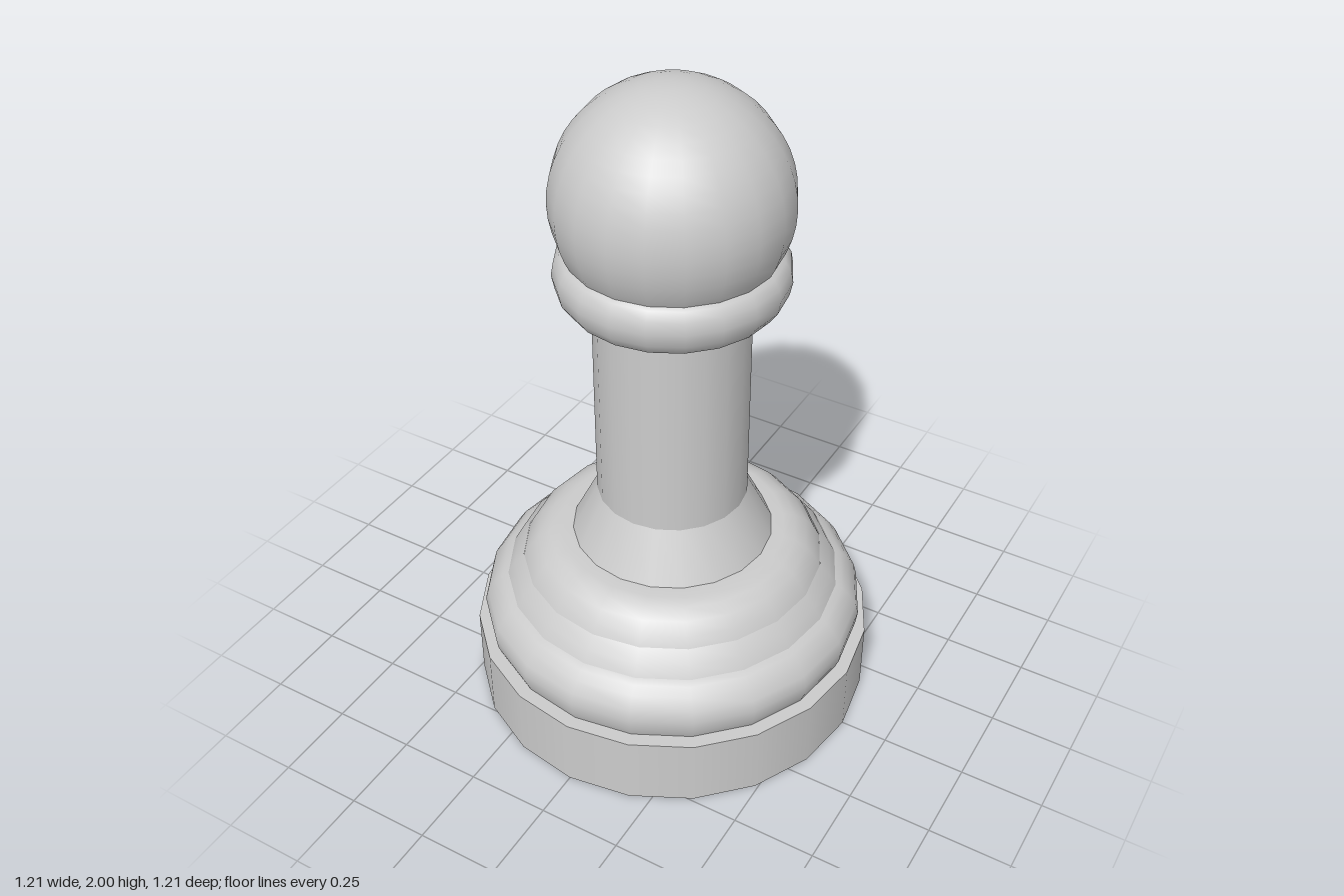
import * as THREE from 'three';

const SIDES = 20;

export function createModel() {
  const group = new THREE.Group();
  const material = new THREE.MeshStandardMaterial({ color: 0xcccccc });

  const add = (name, geometry, y = 0) => {
    const mesh = new THREE.Mesh(geometry, material);
    mesh.name = name;
    mesh.position.y = y;
    group.add(mesh);
  };
  // Turned part from [radius, height] points, bottom to top
  const turn = (name, points) =>
    add(name, new THREE.LatheGeometry(points.map(([r, y]) => new THREE.Vector2(r, y)), SIDES));

  // Foot
  add('base', new THREE.CylinderGeometry(0.607, 0.607, 0.22, SIDES), 0.11);

  // Stacked mouldings above the foot
  turn('lowerRing', [
    [0.565, 0.22], [0.577, 0.25], [0.582, 0.29], [0.573, 0.325],
    [0.55, 0.36], [0.527, 0.382], [0.503, 0.392],
  ]);
  turn('middleRing', [[0.508, 0.388], [0.487, 0.428], [0.455, 0.462]]);
  turn('upperRing', [
    [0.455, 0.46], [0.438, 0.493], [0.41, 0.525], [0.375, 0.547], [0.34, 0.556], [0.29, 0.556],
  ]);

  // Flared neck and straight column
  turn('flare', [[0.303, 0.553], [0.225, 0.71]]);
  turn('column', [[0.225, 0.71], [0.225, 1.37]]);

  // Collar under the head
  turn('collar', [
    [0.2, 1.362], [0.268, 1.362], [0.3, 1.377], [0.322, 1.41], [0.33, 1.45],
    [0.324, 1.485], [0.308, 1.51], [0.29, 1.519],
  ]);

  // Ball head
  add('head', new THREE.SphereGeometry(0.333, SIDES, 24), 1.667);

  return group;
}
